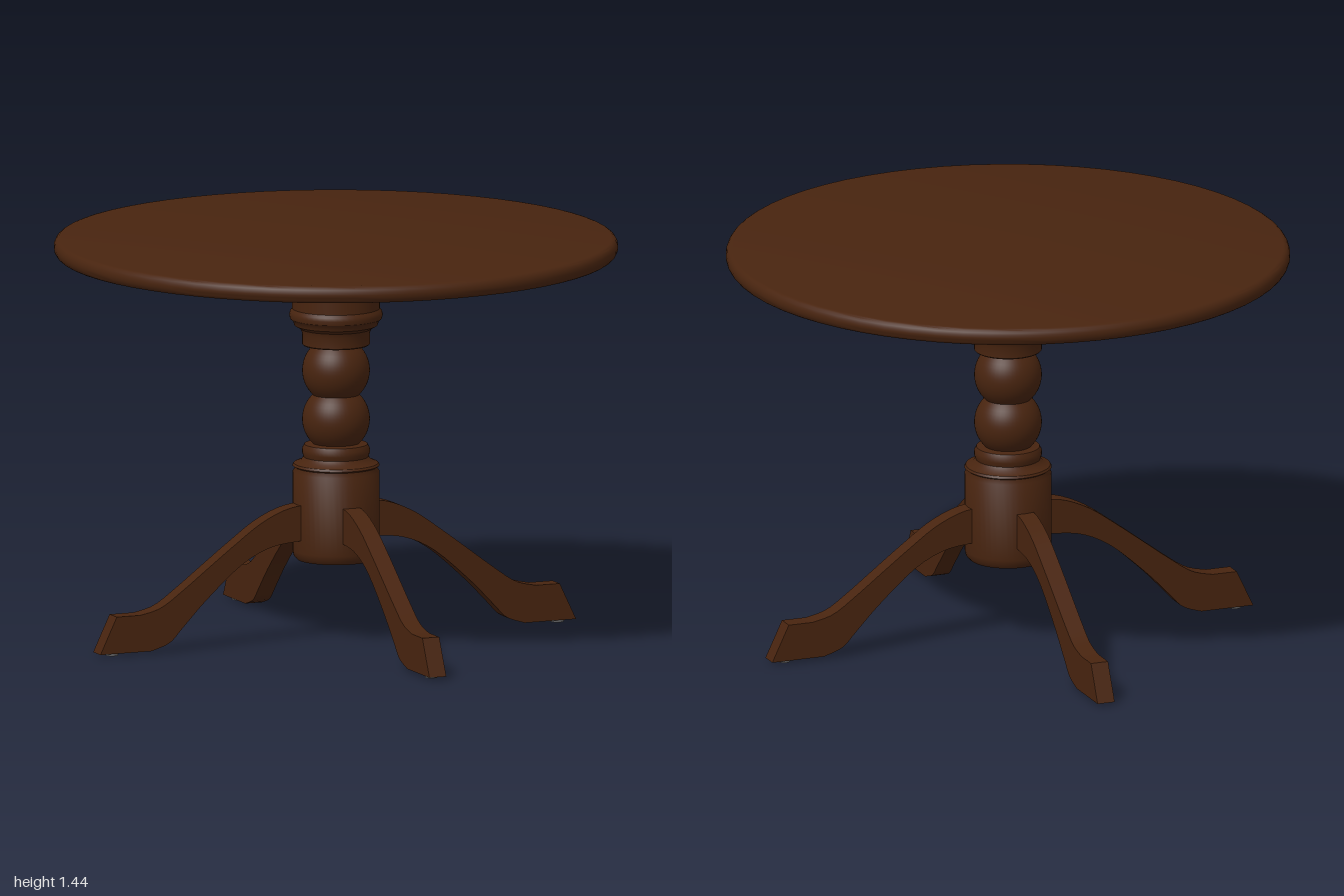
import * as THREE from 'three';
import { toCreasedNormals } from 'three/addons/utils/BufferGeometryUtils.js';

const V = (x, y) => new THREE.Vector2(x, y);

export function createModel() {
  const model = new THREE.Group();
  const wood = new THREE.MeshStandardMaterial({ name: 'dark brown wood', color: 0x48240f });
  const metal = new THREE.MeshStandardMaterial({ name: 'grey metal', color: 0x6e6e70 });

  const add = (name, geometry, material, parent = model) => {
    const mesh = new THREE.Mesh(geometry, material);
    mesh.name = name;
    parent.add(mesh);
    return mesh;
  };
  const turned = (pairs, segments) =>
    toCreasedNormals(new THREE.LatheGeometry(pairs.map(([r, y]) => V(r, y)), segments), 0.6);

  // Round top with a softened rim
  const rim = [];
  for (let i = 0; i <= 10; i++) {
    const a = -Math.PI / 2 + (Math.PI * i) / 10;
    rim.push([0.975 + 0.025 * Math.cos(a), 1.409 + 0.031 * Math.sin(a)]);
  }
  add('tableTop', turned([[0, 1.378], ...rim, [0, 1.44]], 64), wood);

  // Mounting plate under the top, with four screws
  add('mountingPlate', turned([[0, 1.345], [0.308, 1.345], [0.308, 1.38], [0, 1.38]], 48), wood);
  for (let i = 0; i < 4; i++) {
    const a = Math.PI / 4 + (i * Math.PI) / 2;
    const screw = add('plateScrew', new THREE.SphereGeometry(0.02, 12, 6), metal);
    screw.scale.y = 0.5;
    screw.position.set(0.265 * Math.sin(a), 1.344, 0.265 * Math.cos(a));
  }

  // Turned pedestal: drum, collar, two balls, moulded cap
  const ball = (cy, from, to) => {
    const pts = [];
    for (let i = 0; i <= 14; i++) {
      const a = THREE.MathUtils.degToRad(from + ((to - from) * i) / 14);
      pts.push([0.12 * Math.cos(a), cy + 0.12 * Math.sin(a)]);
    }
    return pts;
  };
  const profile = [
    [0, 0.287], [0.138, 0.287], [0.15, 0.3], [0.154, 0.32], [0.154, 0.602],
    [0.146, 0.614], [0.146, 0.618], [0.155, 0.624], [0.15, 0.632], [0.125, 0.642], [0.115, 0.655],
    [0.12, 0.67], [0.12, 0.685], [0.112, 0.7], [0.085, 0.703],
    ...ball(0.79, -46, 47), ...ball(0.965, -47, 46),
    [0.085, 1.056], [0.116, 1.056], [0.12, 1.06], [0.12, 1.1], [0.126, 1.115], [0.148, 1.128],
    [0.152, 1.142], [0.163, 1.152], [0.166, 1.166], [0.163, 1.178], [0.155, 1.188],
    [0.155, 1.346], [0, 1.346],
  ];
  add('pedestal', turned(profile, 48), wood);

  // Curved legs, four around the drum
  const legShape = new THREE.Shape();
  legShape.moveTo(0.1, 0.365);
  legShape.lineTo(0.15, 0.365);
  legShape.splineThru([V(0.26, 0.35), V(0.373, 0.295), V(0.507, 0.18), V(0.6, 0.085), V(0.65, 0.035), V(0.72, 0.01)]);
  legShape.lineTo(0.918, 0.01);
  legShape.lineTo(0.855, 0.142);
  legShape.lineTo(0.764, 0.142);
  legShape.splineThru([V(0.684, 0.163), V(0.596, 0.222), V(0.496, 0.297), V(0.395, 0.372), V(0.295, 0.441), V(0.195, 0.484), V(0.1, 0.496)]);
  const width = 0.065;
  const legGeometry = new THREE.ExtrudeGeometry(legShape, { depth: width, bevelEnabled: false, curveSegments: 3 });
  legGeometry.translate(0, 0, -width / 2);
  const smoothLeg = toCreasedNormals(legGeometry, 0.5);

  for (let i = 0; i < 4; i++) {
    const leg = new THREE.Group();
    leg.name = 'leg' + (i + 1);
    leg.rotation.y = THREE.MathUtils.degToRad(36.7 - 90 + i * 90);
    leg.position.set(-0.004, 0, 0.004);
    add('curvedLeg', smoothLeg, wood, leg);
    // Glide under the foot
    const pad = add('footGlide', new THREE.CylinderGeometry(0.026, 0.022, 0.012, 16), metal, leg);
    pad.position.set(0.86, 0.006, 0);
    model.add(leg);
  }
  return model;
}
